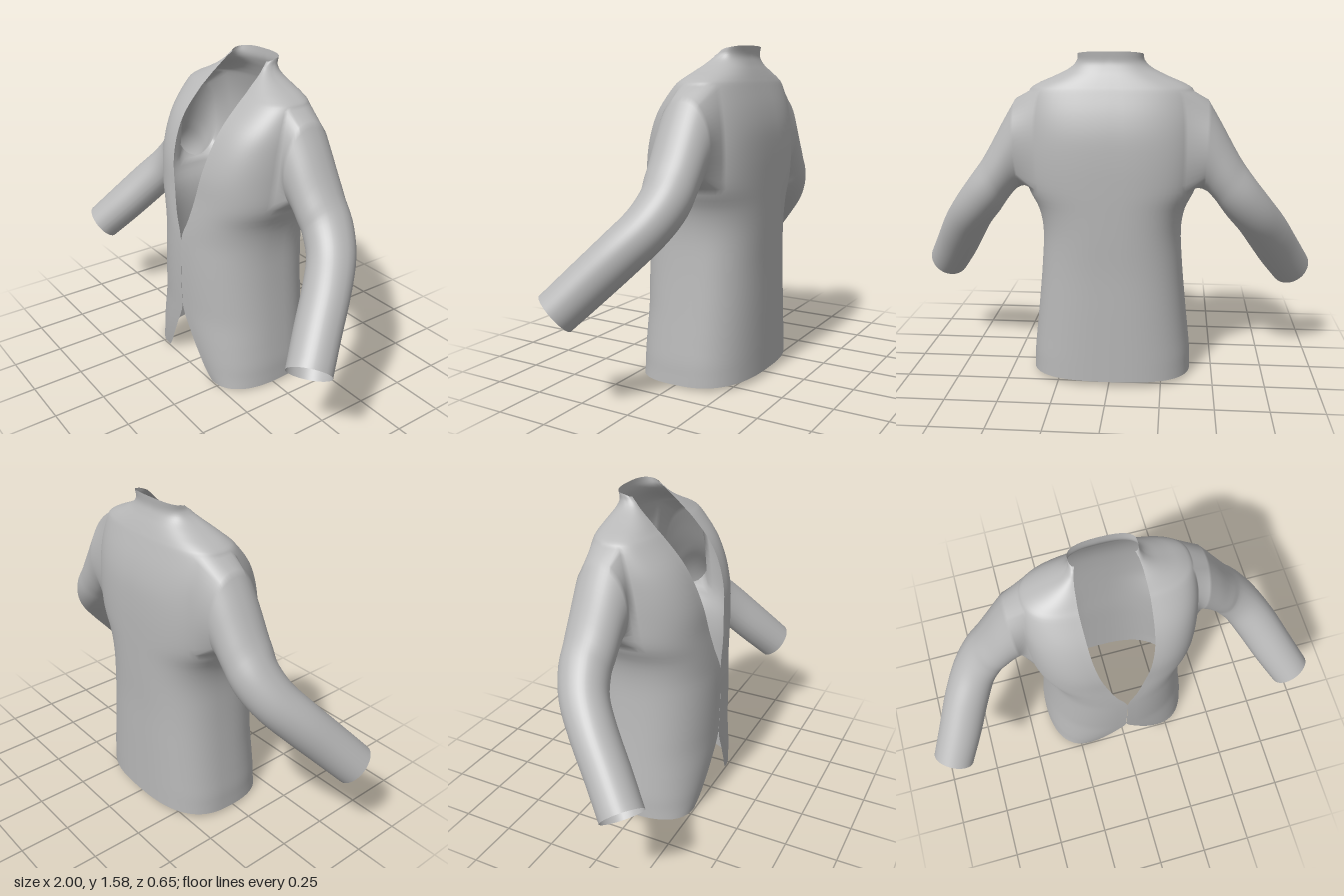
import * as THREE from 'three';
import { mergeGeometries, mergeVertices } from 'three/addons/utils/BufferGeometryUtils.js';

const V = (x, y, z) => new THREE.Vector3(x, y, z);
const smooth = (pts) => new THREE.CatmullRomCurve3(pts, false, 'catmullrom', 0.5);

// Body levels: height, half width, side z, front z, back z, x of the front edge
const LEVELS = [
  [0.00, 0.392, -0.03, 0.245, -0.31, 0.20],
  [0.05, 0.390, -0.03, 0.255, -0.31, 0.16],
  [0.12, 0.387, -0.03, 0.265, -0.31, 0.12],
  [0.22, 0.377, -0.03, 0.275, -0.31, 0.065],
  [0.36, 0.362, -0.03, 0.283, -0.31, 0.001],
  [0.55, 0.344, -0.03, 0.286, -0.31, 0.001],
  [0.72, 0.335, -0.03, 0.282, -0.315, 0.001],
  [0.84, 0.352, -0.05, 0.270, -0.318, 0.05],
  [0.95, 0.400, -0.08, 0.255, -0.32, 0.085],
  [1.08, 0.410, -0.10, 0.238, -0.32, 0.118],
  [1.20, 0.410, -0.10, 0.200, -0.313, 0.14],
  [1.30, 0.405, -0.10, 0.145, -0.293, 0.15],
  [1.395, 0.385, -0.10, 0.060, -0.262, 0.155],
  [1.43, 0.345, -0.10, 0.022, -0.248, 0.155],
  [1.465, 0.265, -0.10, -0.015, -0.232, 0.152],
  [1.50, 0.195, -0.10, -0.055, -0.215, 0.148],
  [1.535, 0.158, -0.125, -0.09, -0.203, 0.14],
  [1.58, 0.150, -0.15, -0.115, -0.205, 0.13],
];

// Sleeve stations: outer x, y, inner x, y, centre z, half depth
const SLEEVE = [
  [0.45, 1.36, 0.435, 0.94, -0.105, 0.135],
  [0.515, 1.25, 0.46, 0.925, -0.105, 0.130],
  [0.60, 1.10, 0.50, 0.88, -0.105, 0.125],
  [0.67, 1.00, 0.55, 0.81, -0.10, 0.118],
  [0.755, 0.89, 0.61, 0.735, -0.06, 0.110],
  [0.84, 0.775, 0.67, 0.64, 0.025, 0.105],
  [0.917, 0.648, 0.745, 0.52, 0.135, 0.102],
  [0.993, 0.52, 0.83, 0.40, 0.245, 0.100],
];

const SUB = 4;              // steps between levels or stations
const COLS = 32, SIDE = 16; // columns from front edge to centre back
const HOLE = { j0: 8 * SUB, j1: 12 * SUB, i0: 13, i1: 22 };

// Left half: open body panel plus a sleeve grown from the armhole edge
function buildHalf() {
  const pos = [], body = [], sleeve = [];
  const id = (i, j) => j * (COLS + 1) + i;
  const quad = (list, a, b, c, d) => list.push(a, b, c, a, c, d);

  const sideCurve = smooth(LEVELS.map(([y, w, zm]) => V(w, y, zm)));
  const edgeCurve = smooth(LEVELS.map(([, , , zf, zb, e]) => V(e, zb, zf)));
  const rows = (LEVELS.length - 1) * SUB;
  for (let j = 0; j <= rows; j++) {
    const s = sideCurve.getPoint(j / rows), c = edgeCurve.getPoint(j / rows);
    const e = Math.max(c.x, 0.001);
    for (let i = 0; i <= COLS; i++) {
      const a = (i / SIDE) * Math.PI / 2;
      const front = i <= SIDE, p = front ? 0.85 : 0.75;
      const sn = i === COLS ? 0 : Math.pow(Math.max(Math.sin(a), 0), p);
      const cs = Math.pow(Math.abs(Math.cos(a)), p);
      const x = front ? e + (s.x - e) * sn : s.x * sn;
      const z = s.z + ((front ? c.z : c.y) - s.z) * cs;
      // hem lifts at the back, collar dips at the front
      const back = (1 - Math.cos(a)) / 2;
      const lift = 0.025 * back * Math.max(0, 1 - s.y / 0.2);
      const dip = 0.025 * (1 - back) * Math.max(0, (s.y - 1.535) / 0.045);
      pos.push(x, s.y + lift - dip, z);
    }
  }
  for (let j = 0; j < rows; j++) for (let i = 0; i < COLS; i++) {
    const inHole = j >= HOLE.j0 && j < HOLE.j1 && i >= HOLE.i0 && i < HOLE.i1;
    if (!inHole) quad(body, id(i, j), id(i + 1, j), id(i + 1, j + 1), id(i, j + 1));
  }

  // Armhole edge: over the top, down the front, along the bottom, up the back
  let ring = [];
  const { i0, i1, j0, j1 } = HOLE;
  for (let i = i1; i > i0; i--) ring.push(id(i, j1));
  for (let j = j1; j > j0; j--) ring.push(id(i0, j));
  for (let i = i0; i < i1; i++) ring.push(id(i, j0));
  for (let j = j0; j < j1; j++) ring.push(id(i1, j));
  const angles = ring.map((k) =>
    Math.atan2((pos[k * 3 + 2] + 0.1) / 0.135, (pos[k * 3 + 1] - 1.17) / 0.22));

  const outer = smooth(SLEEVE.map(([x, y, , , z]) => V(x, y, z)));
  const inner = smooth(SLEEVE.map(([, , x, y, z]) => V(x, y, z)));
  const depth = smooth(SLEEVE.map((s) => V(s[5], 0, 0)));
  const middle = (t) => outer.getPoint(t).add(inner.getPoint(t)).multiplyScalar(0.5);
  const steps = (SLEEVE.length - 1) * SUB;
  for (let k = 0; k <= steps; k++) {
    const t = k / steps, c = middle(t);
    const A = outer.getPoint(t).sub(c);
    const T = middle(Math.min(1, t + 0.02)).sub(middle(Math.max(0, t - 0.02)));
    const B = T.cross(A).setLength(depth.getPoint(t).x);
    const next = angles.map((a) => {
      const q = c.clone().addScaledVector(A, Math.cos(a)).addScaledVector(B, Math.sin(a));
      pos.push(q.x, q.y, q.z);
      return pos.length / 3 - 1;
    });
    ring.forEach((r, m) => {
      const n = (m + 1) % ring.length;
      quad(sleeve, r, ring[n], next[n], next[m]);
    });
    ring = next;
  }
  return { pos, body, sleeve };
}

function makeGeometry(pos, index) {
  const g = new THREE.BufferGeometry();
  g.setAttribute('position', new THREE.Float32BufferAttribute(pos, 3));
  g.setIndex(index);
  return g;
}

export function createModel() {
  const group = new THREE.Group();
  group.name = 'jacket';
  const cloth = new THREE.MeshStandardMaterial({ color: 0xb8b8b8, side: THREE.DoubleSide });
  cloth.name = 'greyCloth';

  // Mirror the half and weld the centre back so shading runs across the seams
  const { pos, body, sleeve } = buildHalf();
  const all = [...body, ...sleeve];
  const flipped = [];
  for (let i = 0; i < all.length; i += 3) flipped.push(all[i], all[i + 2], all[i + 1]);
  const mirrored = pos.map((v, i) => (i % 3 === 0 ? -v : v));
  const whole = mergeVertices(
    mergeGeometries([makeGeometry(pos, all), makeGeometry(mirrored, flipped)]), 1e-4);
  whole.computeVertexNormals();

  // Split the welded surface into named parts, keeping the shared normals
  const index = Array.from(whole.index.array);
  let start = 0;
  for (const [name, count] of [
    ['leftBody', body.length], ['leftSleeve', sleeve.length],
    ['rightBody', body.length], ['rightSleeve', sleeve.length],
  ]) {
    const part = whole.clone();
    part.setIndex(index.slice(start, start + count));
    const mesh = new THREE.Mesh(part.toNonIndexed(), cloth);
    mesh.name = name;
    group.add(mesh);
    start += count;
  }
  return group;
}
